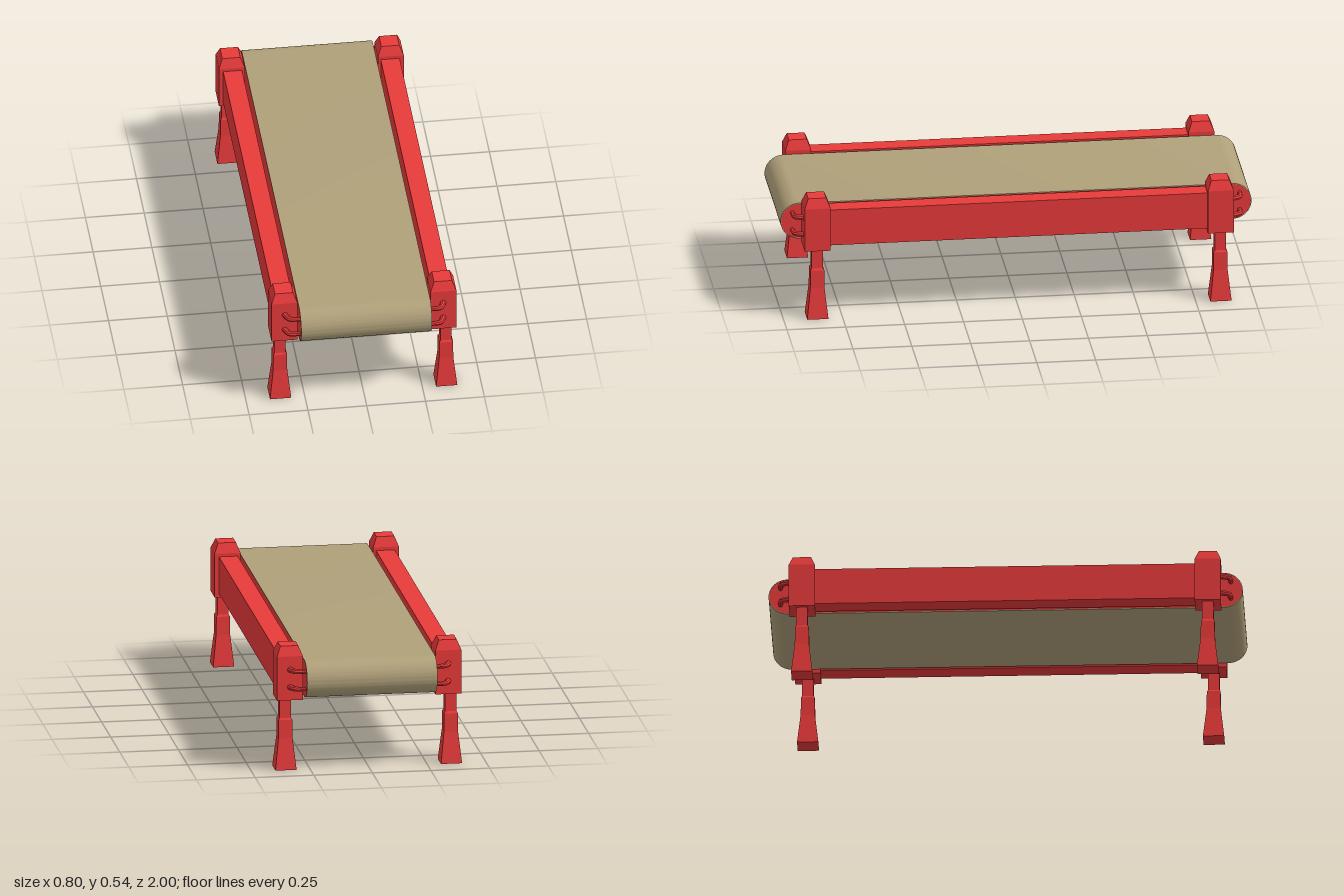
import * as THREE from 'three';
import { toCreasedNormals } from 'three/addons/utils/BufferGeometryUtils.js';

const red = new THREE.MeshStandardMaterial({ color: 0xe83a3a });
const tan = new THREE.MeshStandardMaterial({ color: 0xb0a07a });

// Square tapering column from [half width, height] pairs, bottom to top
function squareColumn(profile) {
  const points = profile.map(([w, y]) => new THREE.Vector2(w * Math.SQRT2, y));
  const geometry = new THREE.LatheGeometry(points, 4, Math.PI / 4).toNonIndexed();
  geometry.computeVertexNormals();
  return geometry;
}

// Long outline with round ends
function stadium(PathType, halfLength, r) {
  const path = new PathType();
  path.absarc(halfLength, 0, r, -Math.PI / 2, Math.PI / 2, false);
  path.absarc(-halfLength, 0, r, Math.PI / 2, Math.PI * 1.5, false);
  path.closePath();
  return path;
}

// Extrude an outline across the width, centred on x = 0
function acrossWidth(shape, width) {
  const geometry = new THREE.ExtrudeGeometry(shape, { depth: width, bevelEnabled: false, curveSegments: 20 });
  geometry.translate(0, 0, -width / 2).rotateY(Math.PI / 2);
  return toCreasedNormals(geometry, 0.6);
}

// Bent rod that grows thicker towards its end
function bentRod(points, startRadius, endRadius) {
  const curve = new THREE.CurvePath();
  for (let i = 1; i < points.length; i++) curve.add(new THREE.LineCurve3(points[i - 1], points[i]));
  const steps = 14, sides = 8;
  const geometry = new THREE.TubeGeometry(curve, steps, 1, sides);
  const p = geometry.attributes.position;
  const v = new THREE.Vector3();
  for (let i = 0; i < p.count; i++) {
    const t = Math.floor(i / (sides + 1)) / steps;
    const c = curve.getPointAt(t);
    v.fromBufferAttribute(p, i).sub(c).multiplyScalar(startRadius + (endRadius - startRadius) * t).add(c);
    p.setXYZ(i, v.x, v.y, v.z);
  }
  return toCreasedNormals(geometry, 0.6);
}

export function createModel() {
  const model = new THREE.Group();
  const add = (name, geometry, material, x = 0, y = 0, z = 0) => {
    const mesh = new THREE.Mesh(geometry, material);
    mesh.name = name;
    mesh.position.set(x, y, z);
    model.add(mesh);
  };

  // Belt loop around a solid bed
  const loop = stadium(THREE.Shape, 0.92, 0.08);
  loop.holes.push(stadium(THREE.Path, 0.92, 0.077));
  add('belt', acrossWidth(loop, 0.556), tan, 0, 0.403, 0);
  add('beltBed', acrossWidth(stadium(THREE.Shape, 0.92, 0.077), 0.554), red, 0, 0.403, 0);

  const leg = squareColumn([[0, 0], [0.045, 0], [0.03, 0.135], [0.029, 0.215], [0.024, 0.223], [0.024, 0.32]]);
  const head = squareColumn([[0, 0.307], [0.055, 0.307], [0.055, 0.498], [0.038, 0.54], [0, 0.54]]);
  const rail = new THREE.BoxGeometry(0.08, 0.16, 1.64);

  for (const sx of [1, -1]) {
    add('sideRail', rail, red, sx * 0.335, 0.404, 0);
    for (const sz of [1, -1]) {
      // Corner post
      add('leg', leg, red, sx * 0.353, 0, sz * 0.856);
      add('postHead', head, red, sx * 0.338, 0, sz * 0.856);
      // Bent rods from the belt bed to the post
      const path = [[0.27, 0.95], [0.312, 0.948], [0.326, 0.94], [0.34, 0.9]]
        .map(([x, z]) => new THREE.Vector3(sx * x, 0, sz * z));
      const rod = bentRod(path, 0.009, 0.013);
      for (const y of [0.44, 0.364]) add('bracketRod', rod, red, 0, y, 0);
    }
  }
  return model;
}
